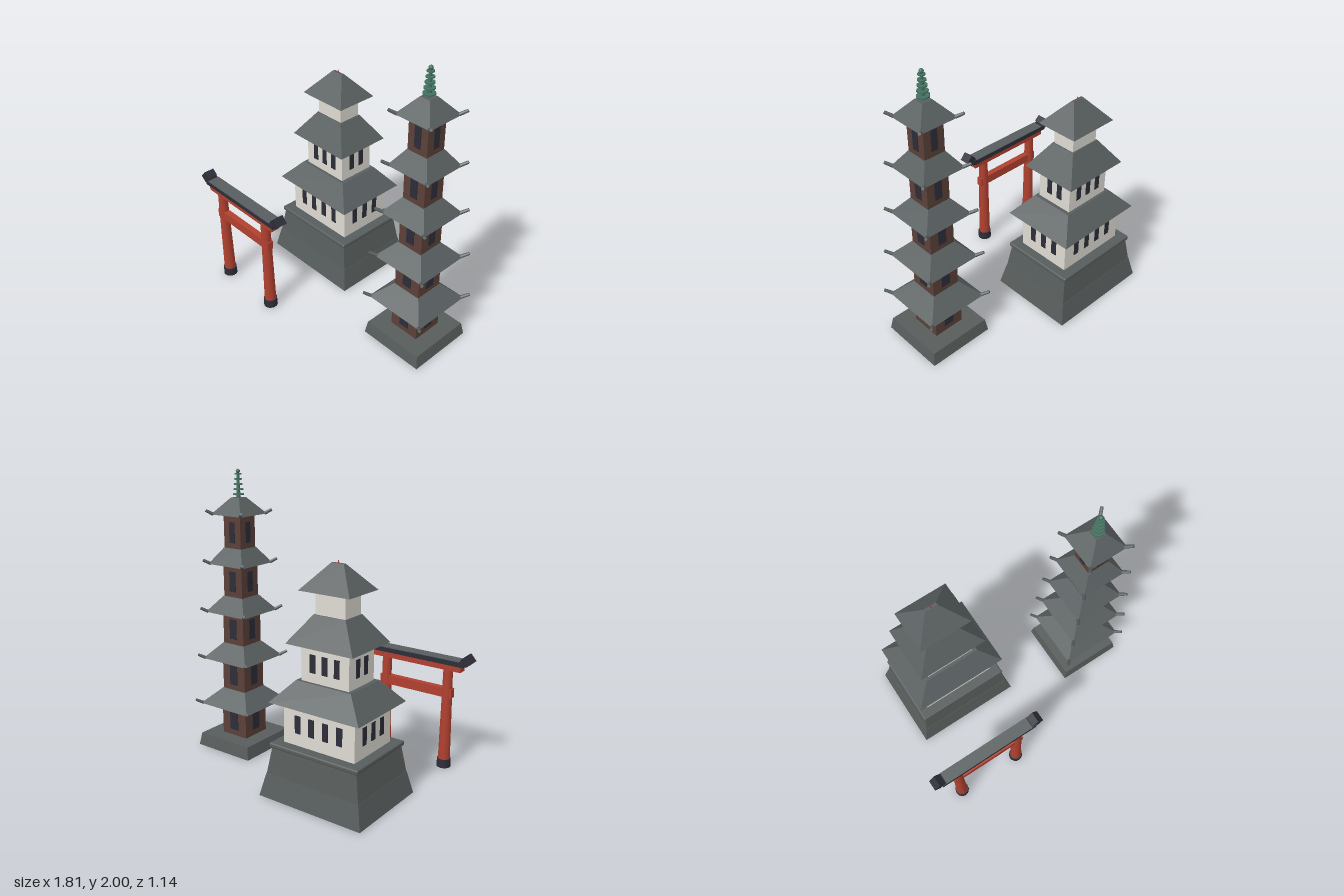
import * as THREE from 'three';
import { RoundedBoxGeometry } from 'three/addons/geometries/RoundedBoxGeometry.js';

const mat = (name, color) => {
  const m = new THREE.MeshStandardMaterial({ color });
  m.name = name;
  return m;
};

export function createModel() {
  const stone = mat('stone', 0x575d5c), roofTile = mat('roof tile', 0x585e5f);
  const plaster = mat('plaster', 0xdedbd2), wood = mat('dark wood', 0x5a4038);
  const red = mat('vermilion', 0xb0402f), dark = mat('dark navy', 0x2c2d38);
  const bronze = mat('green bronze', 0x44705f), shade = mat('dark underside', 0x3f4444);

  const group = (name, parent, x = 0, y = 0, z = 0) => {
    const g = new THREE.Group();
    g.name = name;
    g.position.set(x, y, z);
    parent.add(g);
    return g;
  };
  const add = (parent, name, geo, material, x = 0, y = 0, z = 0) => {
    const m = new THREE.Mesh(geo, material);
    m.name = name;
    m.position.set(x, y, z);
    parent.add(m);
    return m;
  };
  const box = (parent, name, material, w, h, d, x, y, z) =>
    add(parent, name, new THREE.BoxGeometry(w, h, d), material, x, y, z);

  // Four-sided tapered block from y0 to y1; half sizes [x, z] at bottom and top
  const taper = (parent, name, material, y0, y1, [bx, bz], [tx, tz]) => {
    const geo = new THREE.BoxGeometry(2, 1, 2);
    const p = geo.attributes.position;
    for (let i = 0; i < p.count; i++) {
      const top = p.getY(i) > 0;
      p.setXYZ(i, p.getX(i) * (top ? tx : bx), top ? y1 : y0, p.getZ(i) * (top ? tz : bz));
    }
    const flat = geo.toNonIndexed();
    flat.computeVertexNormals();
    return add(parent, name, flat, material);
  };

  // Evenly spaced window plates on all four walls
  const windows = (parent, hx, hz, y, w, h, countX, countZ, gapX, gapZ) => {
    for (const s of [-1, 1]) {
      for (let i = 0; i < countX; i++)
        box(parent, 'window', dark, w, h, 0.008, (i - (countX - 1) / 2) * gapX, y, s * hz);
      for (let i = 0; i < countZ; i++)
        box(parent, 'window', dark, 0.008, h, w, s * hx, y, (i - (countZ - 1) / 2) * gapZ);
    }
  };

  const model = new THREE.Group();
  model.name = 'temple grounds';

  // Castle keep
  const castle = group('castle', model, -0.365, 0, -0.257);
  taper(castle, 'lowerStoneBase', stone, 0, 0.155, [0.387, 0.312], [0.352, 0.28]);
  taper(castle, 'upperStoneBase', stone, 0.155, 0.337, [0.35, 0.278], [0.32, 0.255]);
  box(castle, 'baseUnderside', shade, 0.44, 0.004, 0.35, 0, 0, 0);
  add(castle, 'baseCoping', new RoundedBoxGeometry(0.672, 0.032, 0.54, 2, 0.01), stone, 0, 0.35, 0);
  const storeys = [
    { y0: 0.36, y1: 0.66, wall: [0.268, 0.2], eave: [0.337, 0.267], top: [0.205, 0.155], roof: [0.635, 0.78] },
    { y0: 0.77, y1: 1.04, wall: [0.178, 0.135], eave: [0.248, 0.205], top: [0.118, 0.09], roof: [1.02, 1.2] },
    { y0: 1.19, y1: 1.37, wall: [0.11, 0.082], eave: [0.187, 0.153], top: [0.045, 0.01], roof: [1.35, 1.515] },
  ];
  for (const s of storeys) {
    taper(castle, 'castleWall', plaster, s.y0, s.y1, s.wall, s.wall);
    taper(castle, 'castleRoof', roofTile, ...s.roof, s.eave, s.top);
  }
  windows(castle, 0.268, 0.2, 0.508, 0.042, 0.118, 4, 3, 0.105, 0.097);
  windows(castle, 0.178, 0.135, 0.902, 0.04, 0.118, 3, 2, 0.09, 0.087);
  add(castle, 'roofFinial', new THREE.ConeGeometry(0.009, 0.03, 8), red, 0, 1.522, 0);

  // Five-storey pagoda
  const pagoda = group('pagoda', model, 0.65, 0, -0.003);
  taper(pagoda, 'pagodaBase', stone, 0, 0.09, [0.237, 0.237], [0.222, 0.222]);
  box(pagoda, 'baseUnderside', shade, 0.25, 0.004, 0.25, 0, 0, 0);
  const up = new THREE.Vector3(0, 1, 0);
  for (let i = 0; i < 5; i++) {
    const eaveY = 0.325 + i * 0.3425, half = 0.11 - i * 0.0088;
    const eave = 0.22 - i * 0.021, tip = 0.247 - i * 0.0217;
    const top = i === 4 ? 0.037 : half - 0.006;
    taper(pagoda, 'pagodaWall', wood, i ? eaveY - 0.24 : 0.085, eaveY + 0.01, [half, half], [half, half]);
    taper(pagoda, 'pagodaRoof', roofTile, eaveY, eaveY + 0.113, [eave, eave], [top, top]);
    windows(pagoda, half, half, eaveY - 0.12, 0.074 - i * 0.0065, 0.143, 1, 1, 0, 0);
    // Upturned horns at the eave corners
    for (const sx of [-1, 1]) for (const sz of [-1, 1]) {
      const a = new THREE.Vector3(sx * (eave - 0.012), eaveY + 0.002, sz * (eave - 0.012));
      const b = new THREE.Vector3(sx * tip, eaveY + 0.028, sz * tip);
      const dir = b.clone().sub(a);
      const horn = add(pagoda, 'eaveHorn', new THREE.CylinderGeometry(0.01, 0.012, dir.length(), 8), dark);
      horn.material = roofTile;
      horn.position.copy(a).add(b).multiplyScalar(0.5);
      horn.quaternion.setFromUnitVectors(up, dir.normalize());
    }
  }
  // Ringed spire
  add(pagoda, 'spireRod', new THREE.CylinderGeometry(0.008, 0.014, 0.18, 8), bronze, 0, 1.89, 0);
  for (let i = 0; i < 5; i++)
    add(pagoda, 'spireRing', new THREE.CylinderGeometry(0.039 - i * 0.004, 0.039 - i * 0.004, 0.008, 12),
      bronze, 0, 1.83 + i * 0.034, 0);
  add(pagoda, 'spireBall', new THREE.SphereGeometry(0.015, 12, 8), bronze, 0, 1.985, 0);

  // Gateway
  const gate = group('gateway', model, -0.4865, 0, 0.523);
  for (const s of [-1, 1]) {
    add(gate, 'pillar', new THREE.CylinderGeometry(0.032, 0.042, 0.71, 16), red, s * 0.239, 0.36, 0);
    add(gate, 'pillarFoot', new THREE.CylinderGeometry(0.047, 0.049, 0.06, 16), dark, s * 0.239, 0.03, 0);
    const end = box(gate, 'upturnedEnd', dark, 0.055, 0.062, 0.074, s * 0.382, 0.797, 0);
    end.rotation.z = s * 0.72;
  }
  box(gate, 'tieBeam', red, 0.56, 0.065, 0.044, 0, 0.543, 0);
  box(gate, 'lintel', red, 0.685, 0.045, 0.06, 0, 0.732, 0);
  box(gate, 'topBeam', dark, 0.735, 0.034, 0.084, 0, 0.768, 0);
  box(gate, 'topBeamCover', roofTile, 0.67, 0.008, 0.084, 0, 0.786, 0);

  return model;
}
